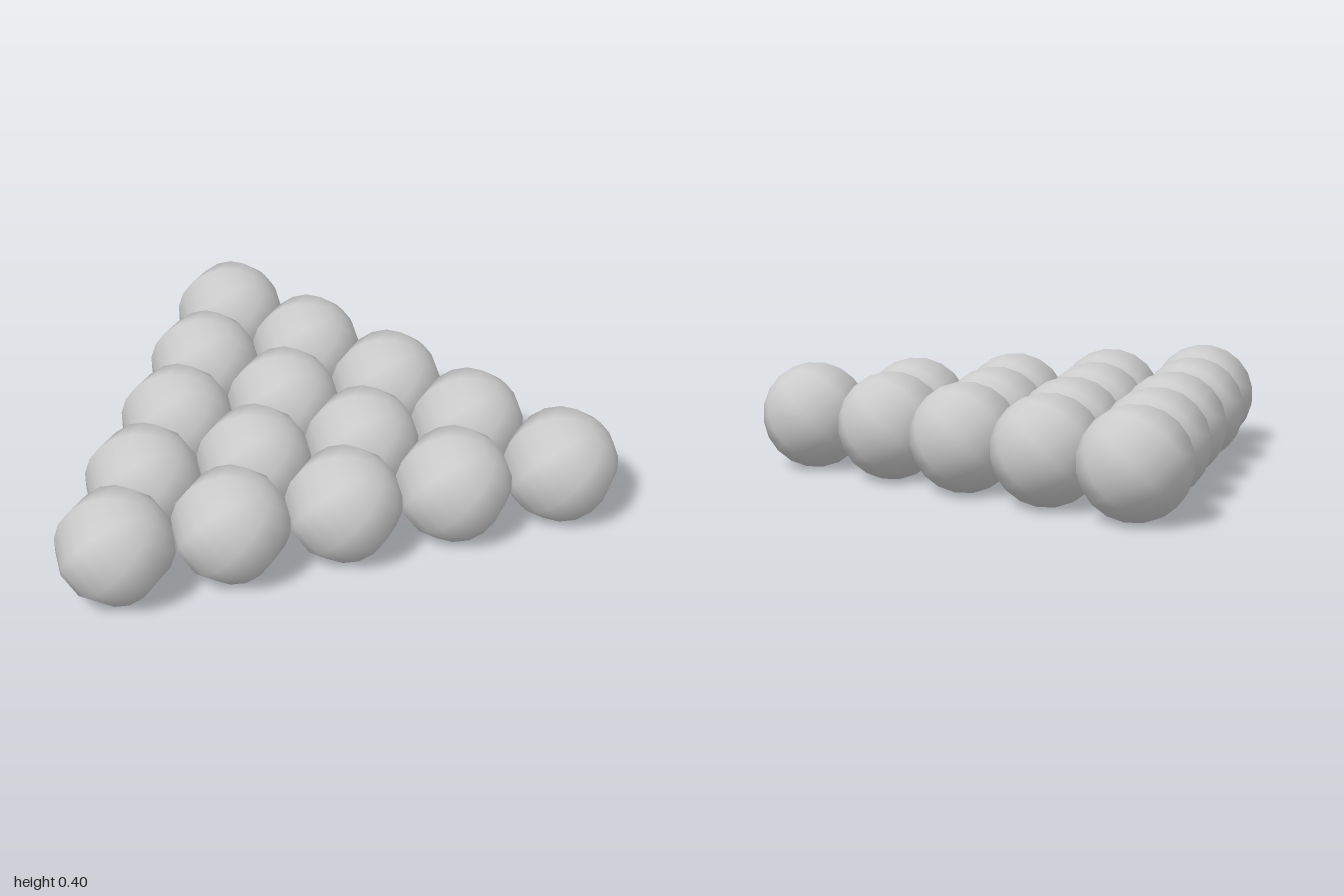
import * as THREE from 'three';

const RADIUS = 0.204;
const SPACING = 0.403;     // distance between neighbours in a row
const ROW_STEP = 0.343;    // distance between rows
const ROWS = 5;

// Eight-sided ball whose pole leans toward the front left
function makeBallGeometry() {
  const geometry = new THREE.SphereGeometry(RADIUS, 8, 10);
  const pole = new THREE.Vector3(0.63, 0.72, 0.29).normalize();
  const side = new THREE.Vector3(-0.338, -0.084, 0.94);
  const right = new THREE.Vector3().crossVectors(pole, side).normalize();
  side.crossVectors(right, pole);
  geometry.applyMatrix4(new THREE.Matrix4().makeBasis(right, pole, side));
  return geometry;
}

export function createModel() {
  const model = new THREE.Group();
  model.name = 'ballTriangle';
  const geometry = makeBallGeometry();
  const material = new THREE.MeshStandardMaterial({ color: 0xcccccc });

  // Rows of one to five balls, widening toward the front
  for (let row = 0; row < ROWS; row++) {
    const rowGroup = new THREE.Group();
    rowGroup.name = `ballRow${row + 1}`;
    // the fourth row sits slightly off centre
    const shift = row === 3 ? -0.018 : -0.003;
    rowGroup.position.set(shift, 0.203, (row - 2) * ROW_STEP);
    for (let i = 0; i <= row; i++) {
      const ball = new THREE.Mesh(geometry, material);
      ball.name = 'ball';
      ball.position.x = (i - row / 2) * SPACING;
      rowGroup.add(ball);
    }
    model.add(rowGroup);
  }
  return model;
}
